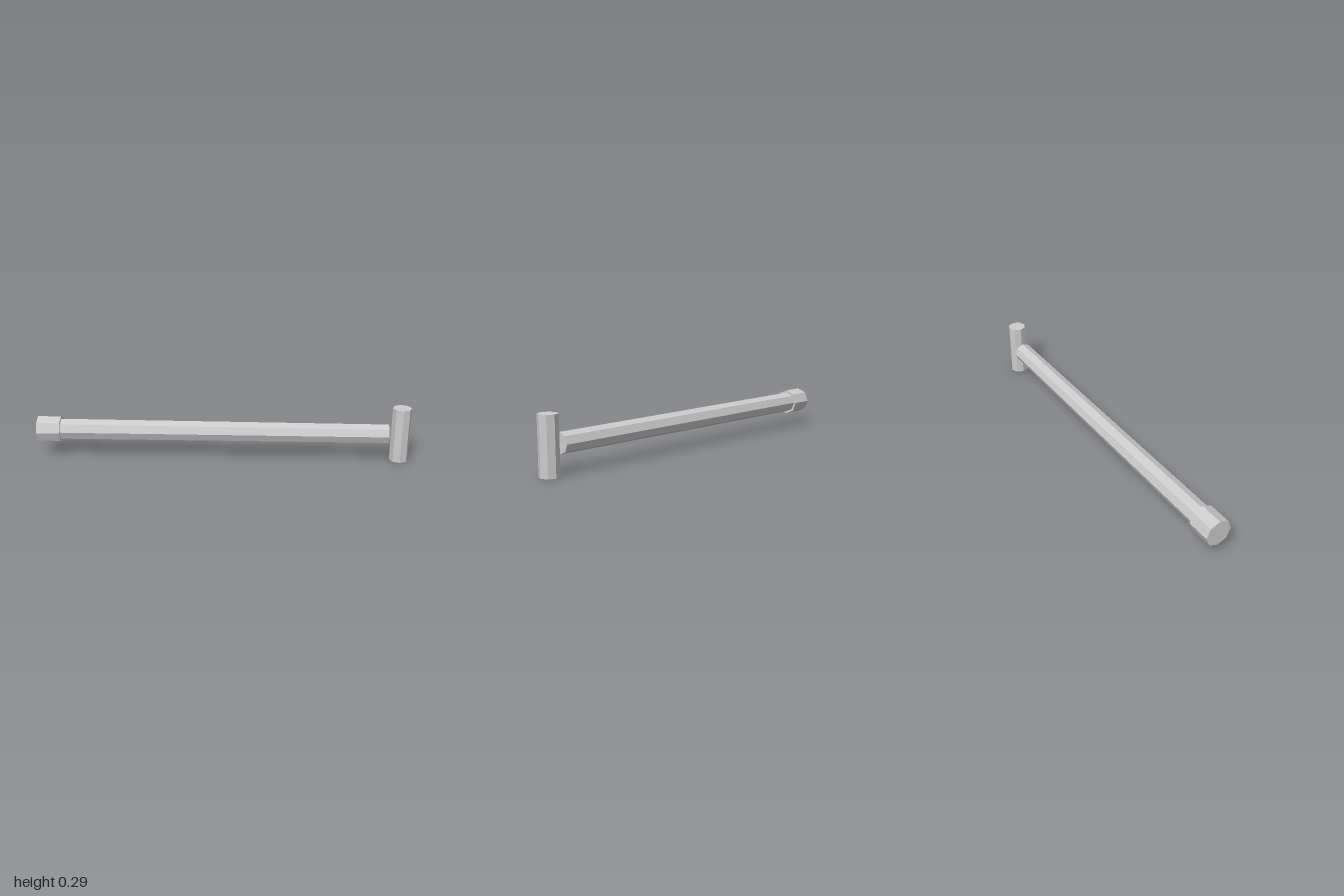
import * as THREE from 'three';

export function createModel() {
  const model = new THREE.Group();
  model.name = 'hammer';
  const grey = new THREE.MeshStandardMaterial({ color: 0xcccccc });
  grey.name = 'light grey';
  grey.flatShading = true;

  const axisY = 0.148;

  // Eight-sided bar lying along x, from x0 (radius r0) to x1 (radius r1)
  function bar(name, x0, x1, r0, r1) {
    const geometry = new THREE.CylinderGeometry(r1, r0, x1 - x0, 8);
    geometry.rotateZ(-Math.PI / 2);
    const mesh = new THREE.Mesh(geometry, grey);
    mesh.name = name;
    mesh.position.set((x0 + x1) / 2, axisY, 0);
    model.add(mesh);
  }

  // Pommel and slightly tapered handle
  bar('pommel', -1, -0.875, 0.0715, 0.0715);
  bar('handle', -0.875, 0.885, 0.058, 0.053);

  // Upright head, standing just clear of the handle
  const head = new THREE.Mesh(new THREE.CylinderGeometry(0.05, 0.05, 0.295, 8), grey);
  head.name = 'head';
  head.position.set(0.95, 0.1475, 0);
  model.add(head);

  return model;
}
